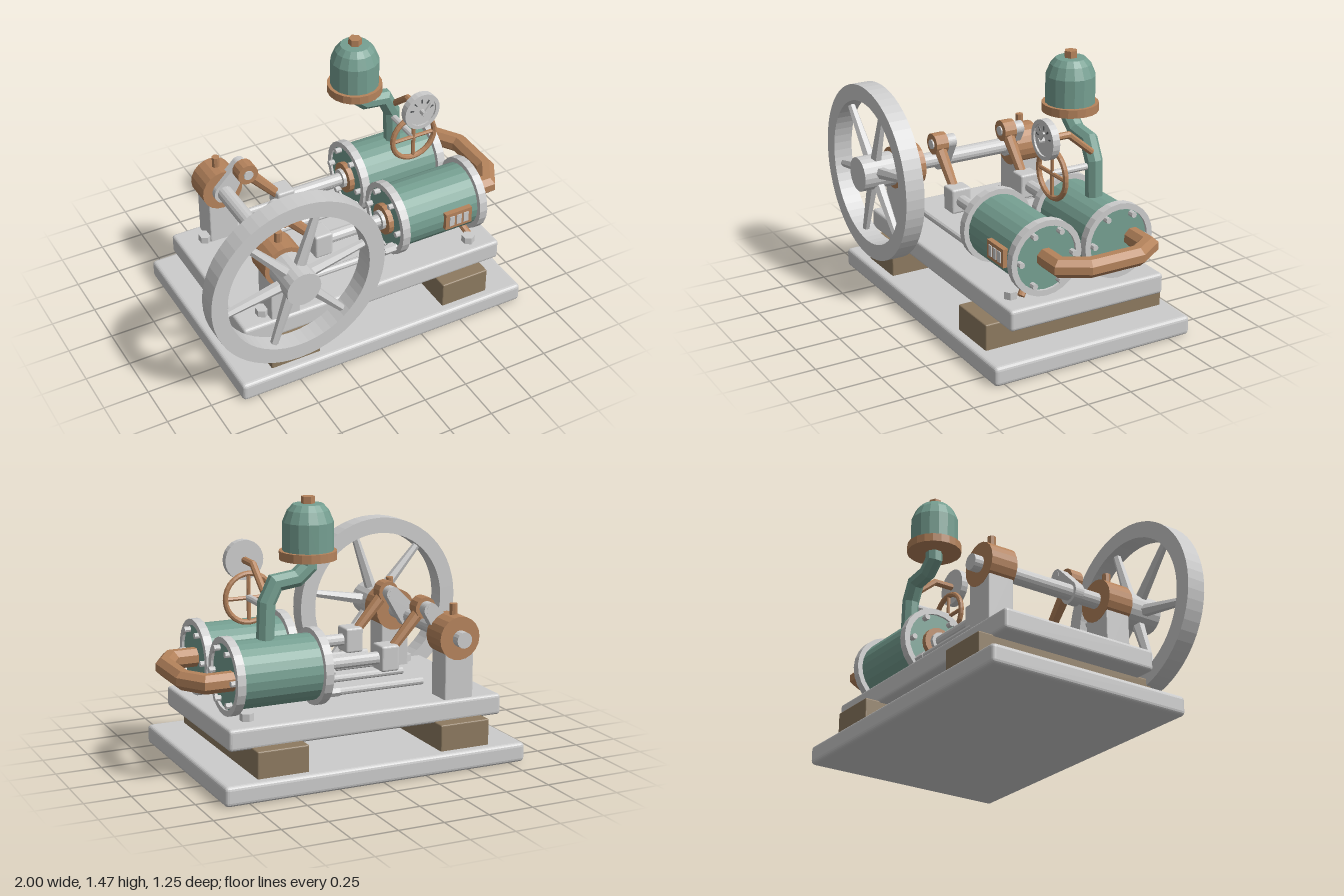
import * as THREE from 'three';
import { RoundedBoxGeometry } from 'three/addons/geometries/RoundedBoxGeometry.js';

const V = (x, y, z) => new THREE.Vector3(x, y, z);
const paint = (name, color) => Object.assign(new THREE.MeshStandardMaterial({ color }), { name });

// faceted normals for the low-poly look
function facet(geo) {
  const g = geo.index ? geo.toNonIndexed() : geo;
  g.computeVertexNormals();
  return g;
}

// straight round bar from a to b
function bar(a, b, r0, r1 = r0, sides = 12) {
  const d = b.clone().sub(a);
  const g = new THREE.CylinderGeometry(r1, r0, d.length(), sides);
  g.applyQuaternion(new THREE.Quaternion().setFromUnitVectors(V(0, 1, 0), d.clone().normalize()));
  const m = a.clone().add(b).multiplyScalar(0.5);
  return g.translate(m.x, m.y, m.z);
}

// mitred pipe along a flat path, b is the normal of the path's plane
function pipe(points, b, r, sides = 8) {
  const pos = [], index = [], n = points.length;
  points.forEach((p, i) => {
    const d0 = p.clone().sub(points[Math.max(i - 1, 0)]).normalize();
    const d1 = points[Math.min(i + 1, n - 1)].clone().sub(p).normalize();
    const t = d0.clone().add(d1).normalize();
    const stretch = 1 / t.dot(i ? d0 : d1);
    const side = t.clone().cross(b);
    for (let k = 0; k < sides; k++) {
      const a = ((k + 0.5) / sides) * Math.PI * 2;
      const q = p.clone().addScaledVector(b, r * Math.cos(a)).addScaledVector(side, r * stretch * Math.sin(a));
      pos.push(q.x, q.y, q.z);
    }
  });
  for (let i = 0; i < n - 1; i++) {
    for (let k = 0; k < sides; k++) {
      const a = i * sides + k, c = i * sides + (k + 1) % sides;
      index.push(a, c, c + sides, a, c + sides, a + sides);
    }
  }
  const last = (n - 1) * sides;
  for (let k = 1; k < sides - 1; k++) index.push(0, k + 1, k, last, last + k, last + k + 1);
  const g = new THREE.BufferGeometry();
  g.setAttribute('position', new THREE.Float32BufferAttribute(pos, 3));
  g.setIndex(index);
  return g;
}

// rectangular ring around the y axis
function ring(rIn, rOut, h, seg) {
  const p = [[rIn, -h / 2], [rOut, -h / 2], [rOut, h / 2], [rIn, h / 2], [rIn, -h / 2]];
  return new THREE.LatheGeometry(p.map(([x, y]) => new THREE.Vector2(x, y)), seg);
}

export function createModel() {
  const steel = paint('steel', 0xcccccc);
  const copper = paint('copper', 0xb5835c);
  const green = paint('green enamel', 0x759f91);
  const wood = paint('wood', 0x8d7a60);
  const dark = paint('dark marking', 0x55585a);
  const model = new THREE.Group();
  model.name = 'steamEngine';
  const add = (name, geo, mat, x = 0, y = 0, z = 0, parent = model) => {
    const m = new THREE.Mesh(facet(geo), mat);
    m.name = name;
    m.position.set(x, y, z);
    parent.add(m);
    return m;
  };
  const block = (name, mat, x0, x1, y0, y1, z0, z1, r) => add(name,
    new RoundedBoxGeometry(x1 - x0, y1 - y0, z1 - z0, 2, r), mat, (x0 + x1) / 2, (y0 + y1) / 2, (z0 + z1) / 2);

  // base, wooden blocks and bed plate
  block('base', steel, -0.84, 0.885, 0, 0.107, -0.625, 0.56, 0.022);
  block('rearBlock', wood, -0.645, -0.355, 0.09, 0.25, -0.57, 0.505, 0.008);
  block('frontBlock', wood, 0.405, 0.69, 0.09, 0.25, -0.57, 0.505, 0.008);
  block('bedPlate', steel, -0.76, 0.81, 0.24, 0.355, -0.495, 0.428, 0.018);
  for (const x of [-0.615, 0.66]) {
    for (const z of [-0.36, 0.343]) add('bedBolt', new THREE.CylinderGeometry(0.037, 0.037, 0.05, 6), steel, x, 0.37, z);
  }

  // main shaft and bearings
  const sx = -0.51, sy = 0.685;
  add('mainShaft', bar(V(sx, sy, -0.53), V(sx, sy, 0.6), 0.044, 0.044, 16), steel);
  for (const z of [-0.402, 0.34]) {
    block('bearingPillar', steel, sx - 0.085, sx + 0.085, 0.34, 0.66, z - 0.075, z + 0.075, 0.008);
    add('bearing', bar(V(sx, sy, z - 0.077), V(sx, sy, z + 0.077), 0.118, 0.118, 20), copper);
    add('oilCup', new THREE.CylinderGeometry(0.022, 0.022, 0.1, 8), copper, sx, 0.81, z);
  }

  // flywheel
  const wheel = new THREE.Group();
  wheel.name = 'flywheel';
  wheel.position.set(sx, sy, 0.526);
  model.add(wheel);
  add('rim', ring(0.405, 0.494, 0.108, 56).rotateX(Math.PI / 2), steel, 0, 0, 0, wheel);
  add('hub', bar(V(0, 0, -0.1), V(0, 0, 0.1), 0.097, 0.097, 20), steel, 0, 0, 0, wheel);
  for (let i = 0; i < 6; i++) {
    const a = 0.2 + (i * Math.PI) / 3, c = Math.cos(a), s = Math.sin(a);
    add('spoke', bar(V(c * 0.07, s * 0.07, 0), V(c * 0.42, s * 0.42, 0), 0.034, 0.021, 6), steel, 0, 0, 0, wheel);
  }

  // two cylinders, each with piston rod, crosshead, connecting rod and crank
  const cy = 0.568, px = -0.405, py = 0.82;
  for (const z of [-0.253, 0.182]) {
    const side = new THREE.Group();
    side.name = z > 0 ? 'frontCylinder' : 'backCylinder';
    side.position.z = z;
    model.add(side);
    const part = (name, geo, mat, x = 0, y = 0, zz = 0) => add(name, geo, mat, x, y, zz, side);
    part('barrel', bar(V(0.225, cy, 0), V(0.73, cy, 0), 0.177, 0.177, 24), green);
    for (const x of [0.236, 0.722]) {
      part('flange', ring(0.174, 0.206, 0.046, 24).rotateZ(Math.PI / 2), steel, x, cy);
      for (let i = 0; i < 6; i++) {
        const a = (i * Math.PI) / 3;
        const out = x > 0.5 ? [0.72, 0.765] : [0.19, 0.24];
        const y = cy + Math.sin(a) * 0.155, bz = Math.cos(a) * 0.155;
        part('flangeBolt', bar(V(out[0], y, bz), V(out[1], y, bz), 0.016, 0.016, 8), steel);
      }
    }
    part('gland', bar(V(0.195, cy, 0), V(0.23, cy, 0), 0.088, 0.088, 16), copper);
    part('glandCollar', bar(V(0.175, cy, 0), V(0.2, cy, 0), 0.055, 0.055, 12), steel);
    part('pistonRod', bar(V(-0.16, cy, 0), V(0.22, cy, 0), 0.035), steel);
    for (const s of [-1, 1]) {
      part('guideRod', bar(V(-0.345, 0.447, s * 0.115), V(0.23, 0.447, s * 0.115), 0.02, 0.02, 10), steel);
      part('guideNut', bar(V(0.145, 0.447, s * 0.115), V(0.215, 0.447, s * 0.115), 0.026, 0.026, 6), steel);
    }
    part('crosshead', new RoundedBoxGeometry(0.104, 0.14, 0.118, 2, 0.012), steel, -0.187, 0.57);
    part('connectingRod', bar(V(px, py, 0), V(-0.2, 0.585, 0), 0.036, 0.026, 8), copper);
    part('bigEnd', bar(V(px, py, -0.037), V(px, py, 0.037), 0.06, 0.06, 14), copper);
    part('crankPin', bar(V(px, py, -0.1), V(px, py, 0.045), 0.028, 0.028, 10), steel);
    const web = new THREE.Shape();
    web.absarc(0, 0, 0.062, Math.PI / 2, Math.PI * 1.5);
    web.absarc(Math.hypot(px - sx, py - sy), 0, 0.04, -Math.PI / 2, Math.PI / 2);
    part('crankWeb', new THREE.ExtrudeGeometry(web, { depth: 0.055, bevelEnabled: false, curveSegments: 8 })
      .rotateZ(Math.atan2(py - sy, px - sx)), steel, sx, sy, -0.097);
  }

  // exhaust pipe joining the cylinder ends
  add('exhaustPipe', pipe([V(0.72, cy, -0.345), V(0.87, cy, -0.345), V(0.946, cy, -0.228),
    V(0.946, cy, 0.055), V(0.87, cy, 0.182), V(0.72, cy, 0.182)], V(0, 1, 0), 0.053), copper);

  // plate and drain cock on the front cylinder
  add('sidePlate', new THREE.BoxGeometry(0.165, 0.1, 0.04), copper, 0.567, 0.57, 0.36);
  for (let i = -1; i <= 1; i++) add('plateBar', new THREE.BoxGeometry(0.03, 0.06, 0.006), steel, 0.567 + i * 0.044, 0.57, 0.382);
  add('drainCock', bar(V(0.66, 0.425, 0.25), V(0.69, 0.365, 0.3), 0.02, 0.02, 8), copper);

  // steam pipe and dome on the back cylinder
  const dx = 0.265, dz = -0.25;
  add('steamPipe', pipe([V(0.51, 0.7, dz), V(0.5, 0.93, dz), V(0.45, 1.03, dz), V(0.33, 1.045, dz),
    V(0.267, 1.1, dz), V(0.267, 1.17, dz)], V(0, 0, 1), 0.047), green);
  add('domeCollar', new THREE.CylinderGeometry(0.151, 0.151, 0.046, 20), copper, dx, 1.163, dz);
  add('dome', new THREE.LatheGeometry([[0, 1.16], [0.133, 1.16], [0.133, 1.335], [0.108, 1.395], [0.08, 1.426], [0, 1.43]]
    .map(([x, y]) => new THREE.Vector2(x, y)), 16), green, dx, 0, dz);
  add('domeNut', new THREE.CylinderGeometry(0.036, 0.036, 0.045, 6), copper, dx, 1.443, dz);

  // valve handwheel
  const hx = 0.495, hy = 0.905;
  add('handwheelRim', new THREE.TorusGeometry(0.131, 0.015, 8, 28), copper, hx, hy, 0);
  add('handwheelSpokeAcross', bar(V(-0.13, 0, 0), V(0.13, 0, 0), 0.011, 0.011, 6), copper, hx, hy, 0);
  add('handwheelSpokeUpright', bar(V(0, -0.13, 0), V(0, 0.13, 0), 0.011, 0.011, 6), copper, hx, hy, 0);
  add('valveStem', bar(V(hx, hy, -0.25), V(hx, hy, 0.005), 0.019, 0.019, 10), steel);

  // pressure gauge
  const gx = 0.505, gy = 1.102;
  add('gaugePipe', pipe([V(gx, 0.985, -0.23), V(gx, gy, -0.09), V(gx, gy, 0.04)], V(1, 0, 0), 0.019), copper);
  add('gaugeCase', bar(V(gx, gy, 0.027), V(gx, gy, 0.058), 0.107, 0.107, 24), steel);
  add('gaugeBezel', ring(0.085, 0.107, 0.016, 24).rotateX(Math.PI / 2), steel, gx, gy, 0.06);
  add('gaugePivot', bar(V(gx, gy, 0.05), V(gx, gy, 0.093), 0.014, 0.014, 8), steel);
  add('gaugeNeedle', new THREE.BoxGeometry(0.085, 0.012, 0.01).translate(0.025, 0, 0).rotateZ(0.9), steel, gx, gy, 0.084);
  for (let i = 0; i < 5; i++) {
    const a = 0.25 + i * 0.66;
    add('gaugeMark', new THREE.BoxGeometry(0.022, 0.007, 0.005).translate(0.062, 0, 0).rotateZ(a), dark, gx, gy, 0.06);
  }
  return model;
}
